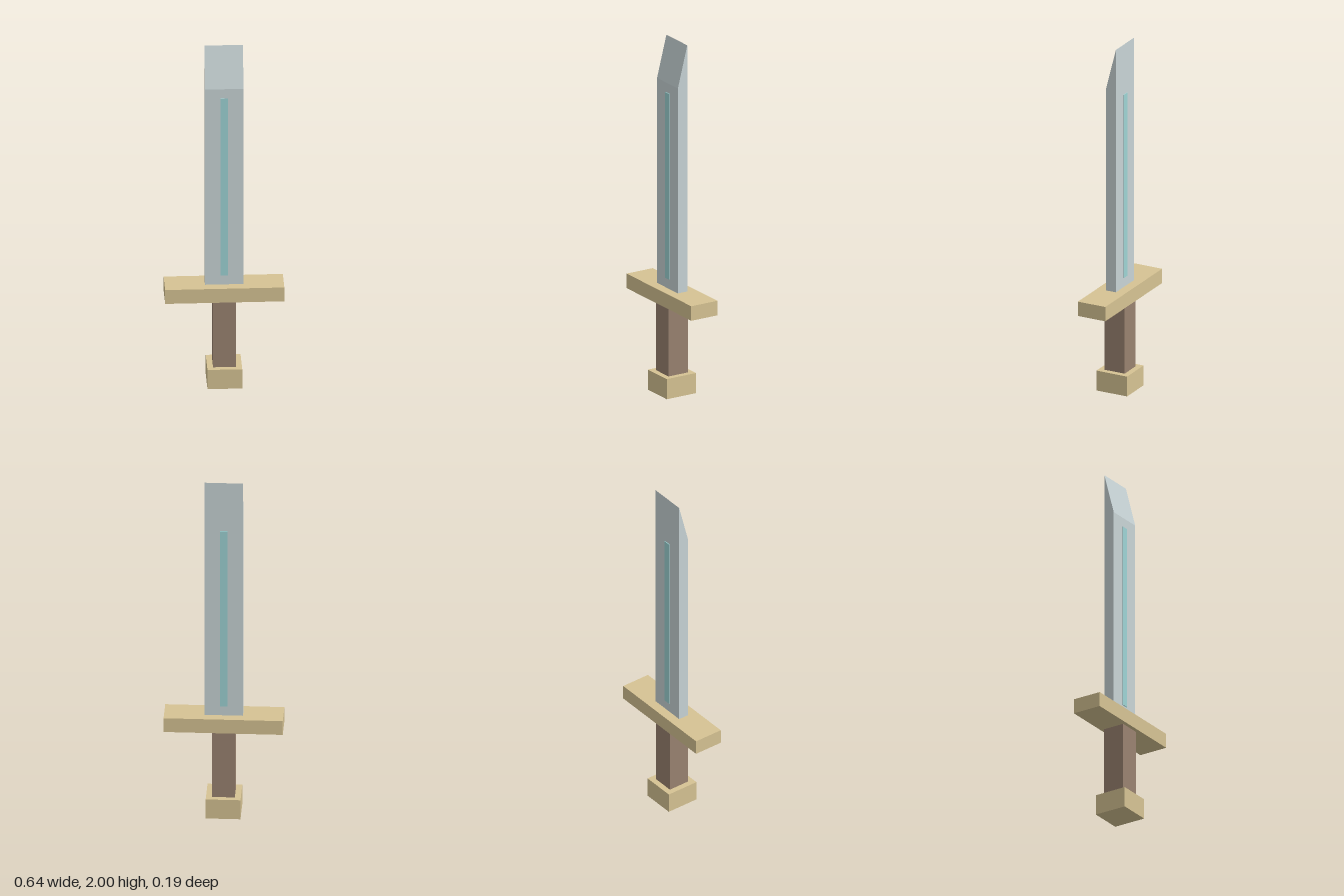
import * as THREE from 'three';

const material = (name, color) => {
  const m = new THREE.MeshStandardMaterial({ color });
  m.name = name;
  return m;
};

export function createModel() {
  const sword = new THREE.Group();
  sword.name = 'sword';

  const steel = material('pale steel', 0xc8d4d6);
  const inlay = material('teal inlay', 0x9dd3d4);
  const brass = material('sandy brass', 0xd6c393);
  const leather = material('brown leather', 0x998270);

  // Box given by its size, bottom height and depth position
  const addBox = (name, mat, w, h, d, bottom, z = 0) => {
    const mesh = new THREE.Mesh(new THREE.BoxGeometry(w, h, d), mat);
    mesh.name = name;
    mesh.position.set(0, bottom + h / 2, z);
    sword.add(mesh);
    return mesh;
  };

  // Hilt
  addBox('pommel', brass, 0.188, 0.115, 0.188, 0);
  addBox('grip', leather, 0.124, 0.397, 0.124, 0.115);
  addBox('guard', brass, 0.644, 0.083, 0.168, 0.512);

  // Blade: the front top edge is lowered to form the chisel tip
  const bottom = 0.595, shoulder = 1.765;
  const blade = addBox('blade', steel, 0.208, 2 - bottom, 0.06, bottom, -0.001);
  const pos = blade.geometry.attributes.position;
  for (let i = 0; i < pos.count; i++) {
    if (pos.getY(i) > 0 && pos.getZ(i) > 0) pos.setY(i, pos.getY(i) - (2 - shoulder));
  }
  blade.geometry = blade.geometry.toNonIndexed();
  blade.geometry.computeVertexNormals();

  // Thin inlay strips on both faces of the blade
  for (const [name, side] of [['frontInlay', 1], ['backInlay', -1]]) {
    addBox(name, inlay, 0.04, 1.06, 0.006, 0.65, -0.001 + side * 0.031);
  }

  return sword;
}
